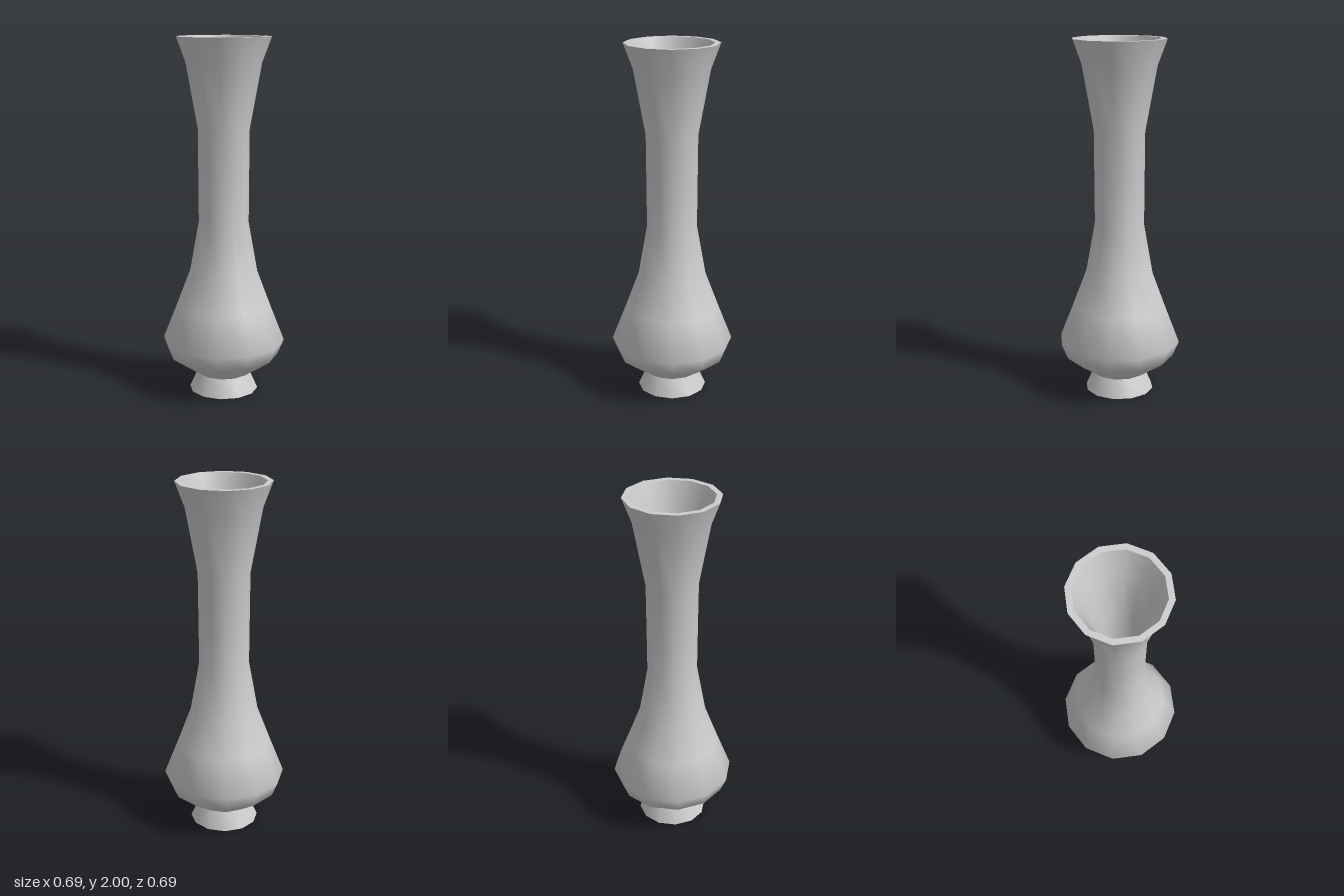
import * as THREE from 'three';
import { toCreasedNormals } from 'three/addons/utils/BufferGeometryUtils.js';

const SIDES = 12;

// Turned part from [radius, height] pairs, smooth except at sharp edges
function turned(name, profile, material) {
  const points = profile.map(([r, y]) => new THREE.Vector2(r, y));
  const geometry = toCreasedNormals(new THREE.LatheGeometry(points, SIDES), 0.9);
  const mesh = new THREE.Mesh(geometry, material);
  mesh.name = name;
  return mesh;
}

export function createModel() {
  const vase = new THREE.Group();
  vase.name = 'vase';
  const material = new THREE.MeshStandardMaterial({ color: 0xcccccc });

  // Flared foot with closed underside
  vase.add(turned('foot', [[0, 0], [0.195, 0], [0.15, 0.1]], material));

  // Belly, neck and flared mouth, up to the inner edge of the rim
  vase.add(turned('outerWall', [
    [0.15, 0.1], [0.31, 0.21], [0.345, 0.295], [0.265, 0.5], [0.19, 0.7],
    [0.14, 0.98], [0.141, 1.2], [0.143, 1.5], [0.208, 1.86], [0.26, 2], [0.228, 2],
  ], material));

  // Hollow inside, from the rim down to the floor
  vase.add(turned('innerWall', [
    [0.228, 2], [0.178, 1.86], [0.118, 1.5], [0.112, 1.2], [0.106, 0.98],
    [0.16, 0.69], [0.235, 0.5], [0.31, 0.3], [0.28, 0.23], [0.14, 0.13], [0, 0.13],
  ], material));

  return vase;
}
